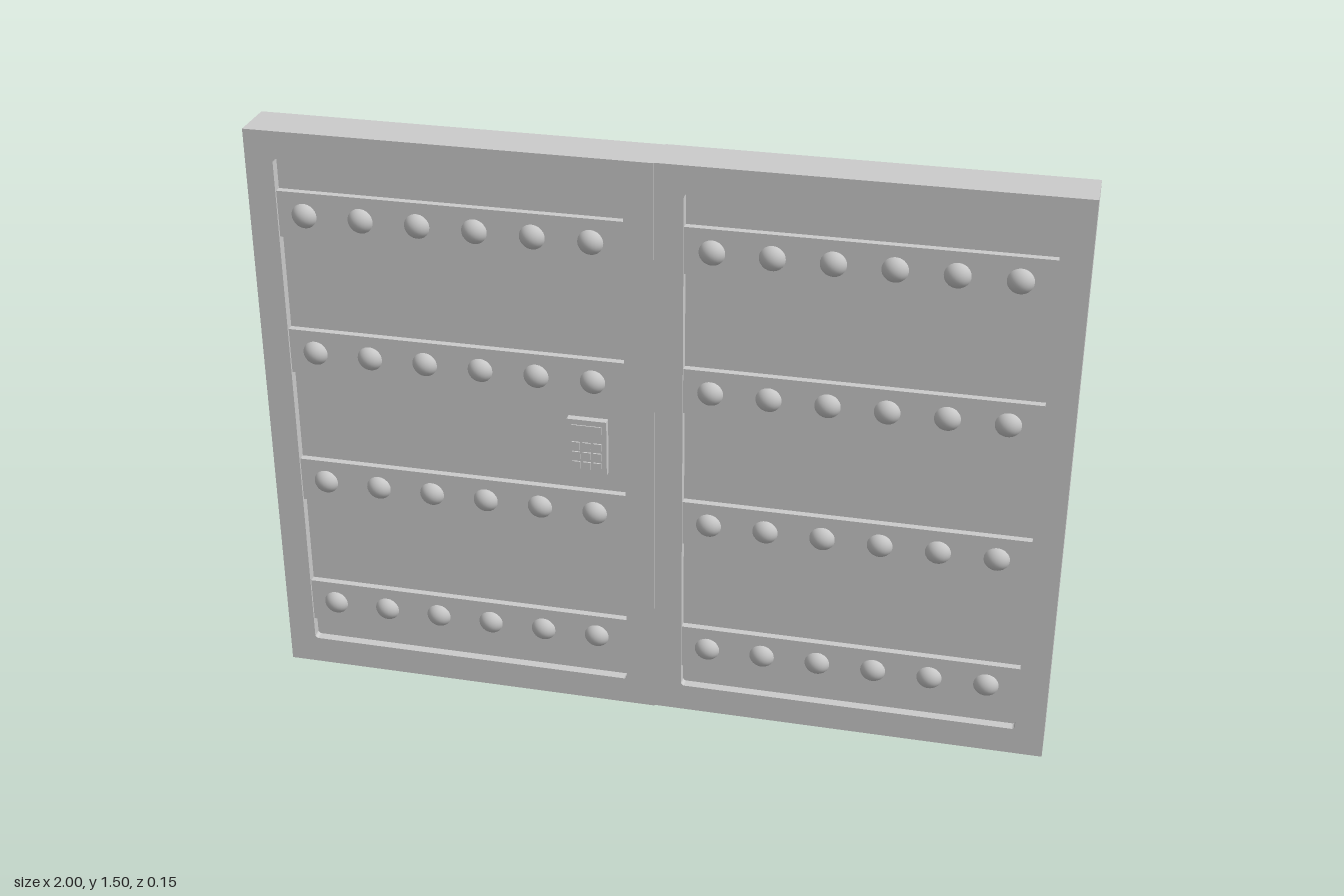
import * as THREE from 'three';

const material = new THREE.MeshStandardMaterial({ color: 0xcccccc });
const HEIGHT = 1.505, DEPTH = 0.122;
const PANEL = { x0: 0.07, x1: 0.927, y0: 0.073, y1: 1.435 };
const BAND_Y = [0.191, 0.558, 0.925, 1.292];

function add(parent, name, geometry, x = 0, y = 0, z = 0) {
  const mesh = new THREE.Mesh(geometry, material);
  mesh.name = name;
  mesh.position.set(x, y, z);
  parent.add(mesh);
  return mesh;
}

// Rectangle with slightly rounded corners, used for the frame opening
function roundedPath({ x0, x1, y0, y1 }, r) {
  const p = new THREE.Path();
  p.moveTo(x0 + r, y0);
  p.lineTo(x1 - r, y0);
  p.absarc(x1 - r, y0 + r, r, -Math.PI / 2, 0);
  p.lineTo(x1, y1 - r);
  p.absarc(x1 - r, y1 - r, r, 0, Math.PI / 2);
  p.lineTo(x0 + r, y1);
  p.absarc(x0 + r, y1 - r, r, Math.PI / 2, Math.PI);
  p.lineTo(x0, y0 + r);
  p.absarc(x0 + r, y0 + r, r, Math.PI, Math.PI * 1.5);
  return p;
}

// One door leaf, spanning x 0..1
function createLeaf(name) {
  const leaf = new THREE.Group();
  leaf.name = name;

  // Outer frame with a panel opening
  const outline = new THREE.Shape([
    new THREE.Vector2(0, 0), new THREE.Vector2(1, 0),
    new THREE.Vector2(1, HEIGHT), new THREE.Vector2(0, HEIGHT),
  ]);
  outline.holes.push(roundedPath(PANEL, 0.009));
  const frame = new THREE.ExtrudeGeometry(outline, { depth: DEPTH, bevelEnabled: false, curveSegments: 4 });
  add(leaf, 'frame', frame, 0, 0, -DEPTH / 2);

  // Recessed panel, set in from both faces
  const w = PANEL.x1 - PANEL.x0, h = PANEL.y1 - PANEL.y0;
  const cx = (PANEL.x0 + PANEL.x1) / 2, cy = (PANEL.y0 + PANEL.y1) / 2;
  add(leaf, 'recessedPanel', new THREE.BoxGeometry(w + 0.01, h + 0.01, 0.074), cx, cy, 0);

  // Reinforcing bands with rivets on both faces
  const bandGeometry = new THREE.BoxGeometry(w, 0.119, 0.11);
  const rivetGeometry = new THREE.SphereGeometry(0.036, 24, 16);
  for (const y of BAND_Y) {
    add(leaf, 'band', bandGeometry, cx, y, 0);
    for (let i = 0; i < 6; i++) {
      for (const side of [1, -1]) {
        add(leaf, 'rivet', rivetGeometry, 0.136 + i * 0.142, y, side * 0.038);
      }
    }
  }
  return leaf;
}

// Keypad with a raised rim, a display and a grid of buttons
function createKeypad() {
  const keypad = new THREE.Group();
  keypad.name = 'keypad';
  add(keypad, 'keypadBody', new THREE.BoxGeometry(0.1, 0.148, 0.02), 0, 0, 0.01);
  add(keypad, 'keypadDisplay', new THREE.BoxGeometry(0.076, 0.036, 0.004), 0, 0.042, 0.021);
  const button = new THREE.BoxGeometry(0.02, 0.02, 0.005);
  for (let row = 0; row < 3; row++) {
    for (let col = 0; col < 3; col++) {
      add(keypad, 'keypadButton', button, (col - 1) * 0.027, 0.003 - row * 0.027, 0.0215);
    }
  }
  return keypad;
}

export function createModel() {
  const door = new THREE.Group();
  door.name = 'doubleDoor';

  // The two leaves are offset slightly in depth, leaving a fine step at the seam
  const rightLeaf = createLeaf('rightLeaf');
  rightLeaf.position.set(-1, 0, 0.0015);
  const leftLeaf = createLeaf('leftLeaf');
  leftLeaf.position.set(0, 0, -0.0015);

  const keypad = createKeypad();
  keypad.position.set(0.829, 0.744, 0.036);
  rightLeaf.add(keypad);

  door.add(rightLeaf, leftLeaf);
  return door;
}
